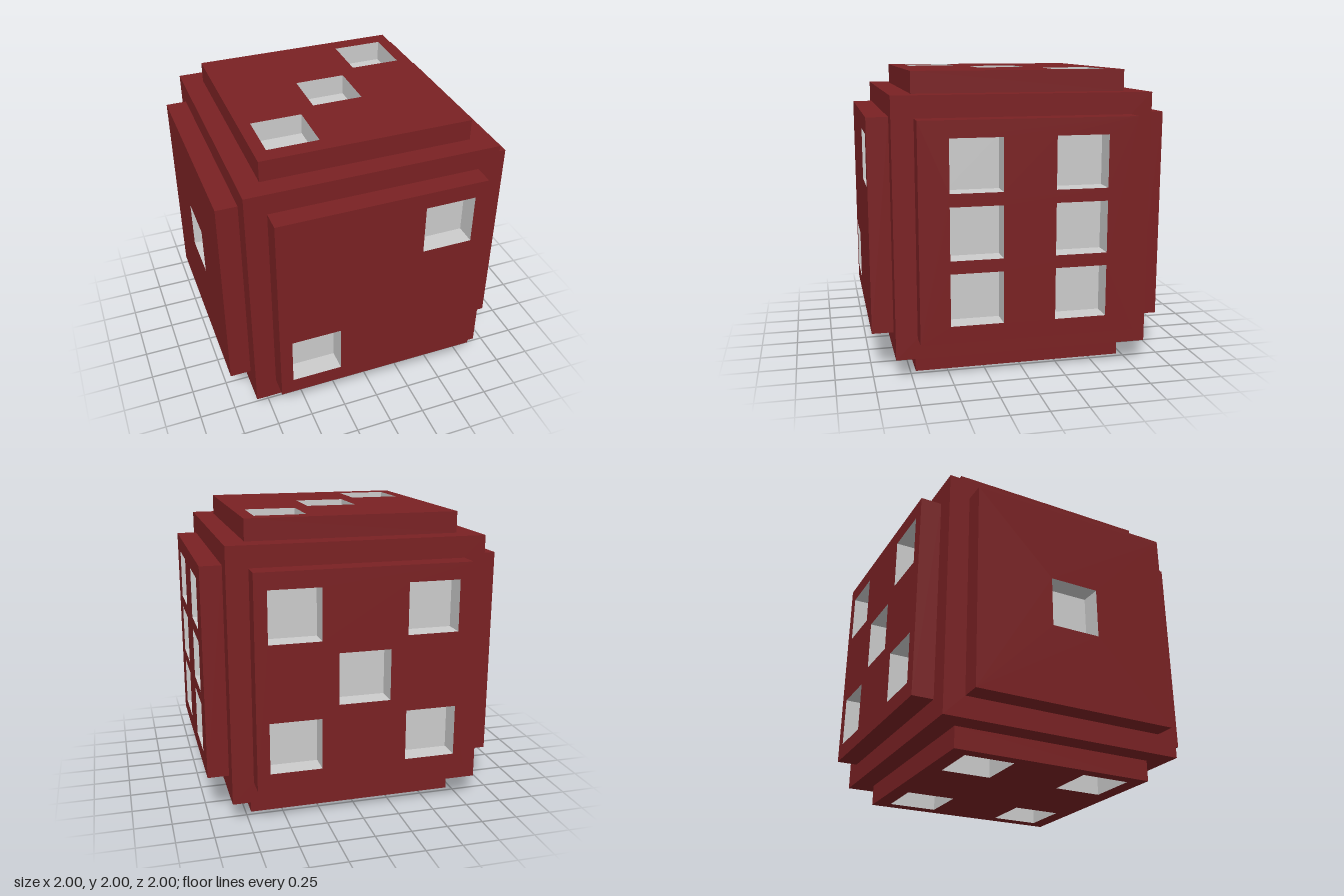
import * as THREE from 'three';

const CORE = 0.857;   // half size of the inner cube
const PLATE = 0.714;  // half size of each raised face
const DEPTH = 0.143;  // thickness of each raised face
const PIP = 0.1725;   // half size of a pip
const U = 0.457, V = 0.43;

function square(half, x = 0, y = 0) {
  return [[-1, -1], [1, -1], [1, 1], [-1, 1]].map(
    ([a, b]) => new THREE.Vector2(x + a * half, y + b * half));
}

export function createModel() {
  const red = new THREE.MeshStandardMaterial({ color: 0x7a2123 });
  red.name = 'dark red';
  const grey = new THREE.MeshStandardMaterial({ color: 0xcccccc });
  grey.name = 'light grey';

  const die = new THREE.Group();
  die.name = 'die';

  // Inner cube
  const core = new THREE.Mesh(new THREE.BoxGeometry(2 * CORE, 2 * CORE, 2 * CORE), red);
  core.name = 'core';
  core.position.y = 1;
  die.add(core);

  // Raised face with square wells; local z points outward
  function addFace(name, rx, ry, pips) {
    const face = new THREE.Group();
    face.name = name;
    const shape = new THREE.Shape(square(PLATE));
    for (const [x, y] of pips) shape.holes.push(new THREE.Path(square(PIP, x, y).reverse()));

    // Caps and the four outer sides are red, the well walls grey
    const geo = new THREE.ExtrudeGeometry(shape, { depth: DEPTH, bevelEnabled: false });
    const outerEnd = geo.groups[1].start + 24;
    geo.clearGroups();
    geo.addGroup(0, outerEnd, 0);
    geo.addGroup(outerEnd, geo.attributes.position.count - outerEnd, 1);
    const plate = new THREE.Mesh(geo, [red, grey]);
    plate.name = name + 'Plate';
    plate.position.z = CORE;
    face.add(plate);

    // Well floors
    for (const [x, y] of pips) {
      const floor = new THREE.Mesh(new THREE.PlaneGeometry(2 * PIP, 2 * PIP), grey);
      floor.name = 'pipFloor';
      floor.position.set(x, y, CORE + 0.002);
      face.add(floor);
    }
    face.rotation.set(rx, ry, 0);
    face.position.y = 1;
    die.add(face);
  }

  const corners = [[-U, -V], [U, -V], [-U, V], [U, V]];
  const six = [];
  for (const x of [-0.345, 0.345]) for (const y of [-V, 0, V]) six.push([x, y]);

  const Q = Math.PI / 2;
  addFace('leftFaceSix', 0, Q, six);
  addFace('rightFaceOne', 0, -Q, [[0, 0]]);
  addFace('frontFaceTwo', 0, 0, [[-U, -V], [U, V]]);
  addFace('backFaceFive', 0, 2 * Q, [...corners, [0, 0]]);
  addFace('topFaceThree', -Q, 0, [[-U, -V], [0, 0], [U, V]]);
  addFace('bottomFaceFour', Q, 0, corners);

  return die;
}
